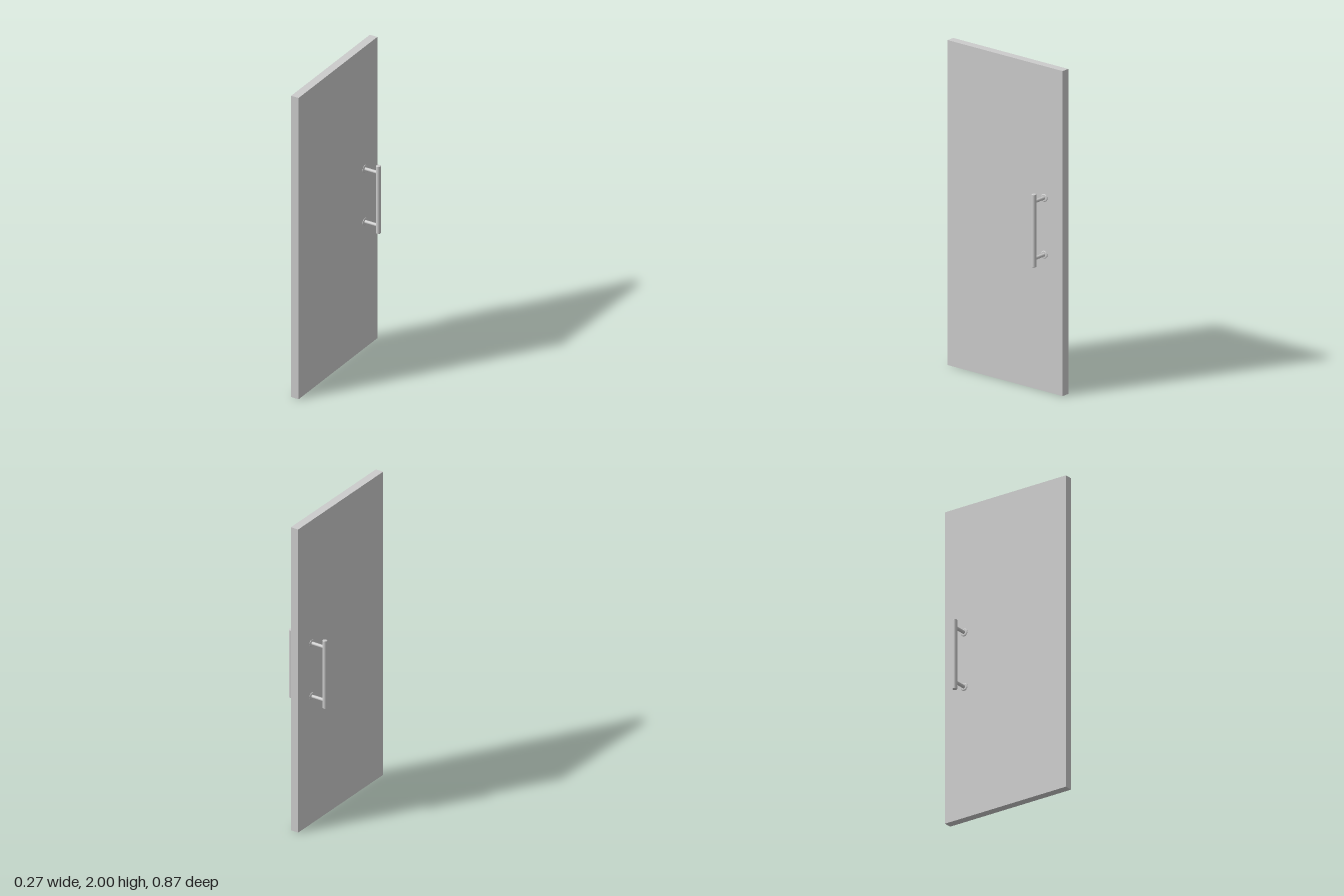
import * as THREE from 'three';

const material = new THREE.MeshStandardMaterial({ color: 0xcccccc });
const DOOR = { width: 0.87, height: 2, thickness: 0.051 };
const HANDLE = { x: 0.119, z: -0.296, bottom: 0.79, top: 1.237, radius: 0.0142 };
const POST_HEIGHTS = [0.84, 1.19];

function addMesh(parent, geometry, name, x = 0, y = 0, z = 0) {
  const mesh = new THREE.Mesh(geometry, material);
  mesh.name = name;
  mesh.position.set(x, y, z);
  parent.add(mesh);
  return mesh;
}

// Turned part from [radius, height] pairs; doubled points keep the edges crisp
function turned(profile) {
  const points = profile.flatMap(([r, h], i) => {
    const p = new THREE.Vector2(r, h);
    return i === 0 || i === profile.length - 1 ? [p] : [p, p.clone()];
  });
  return new THREE.LatheGeometry(points, 32);
}

function createHandle(name) {
  const handle = new THREE.Group();
  handle.name = name;
  const face = DOOR.thickness / 2;
  const { x, bottom, top, radius: r } = HANDLE;

  // Vertical grip with narrow chamfers at both ends
  const c = 0.002;
  const grip = turned([[0, 0], [r - c, 0], [r, c], [r, top - bottom - c], [r - c, top - bottom], [0, top - bottom]]);
  addMesh(handle, grip, 'grip', x, bottom);

  for (const y of POST_HEIGHTS) {
    // Standoff post running from the door face into the grip
    const post = new THREE.CylinderGeometry(0.0102, 0.0102, x - face, 24);
    addMesh(handle, post, 'post', (x + face) / 2, y).rotation.z = -Math.PI / 2;

    // Thin bevelled rosette against the door
    const rosette = turned([[0, 0], [0.024, 0], [0.024, 0.002], [0.019, 0.0045], [0, 0.0045]]);
    addMesh(handle, rosette, 'rosette', face, y).rotation.z = -Math.PI / 2;
  }
  return handle;
}

export function createModel() {
  const model = new THREE.Group();
  model.name = 'door';

  // Plain slab
  const slab = new THREE.BoxGeometry(DOOR.thickness, DOOR.height, DOOR.width);
  addMesh(model, slab, 'doorPanel', 0, DOOR.height / 2);

  // Matching pull handles on both faces
  for (const [name, angle] of [['leftHandle', 0], ['rightHandle', Math.PI]]) {
    const handle = createHandle(name);
    handle.rotation.y = angle;
    handle.position.z = HANDLE.z;
    model.add(handle);
  }
  return model;
}
